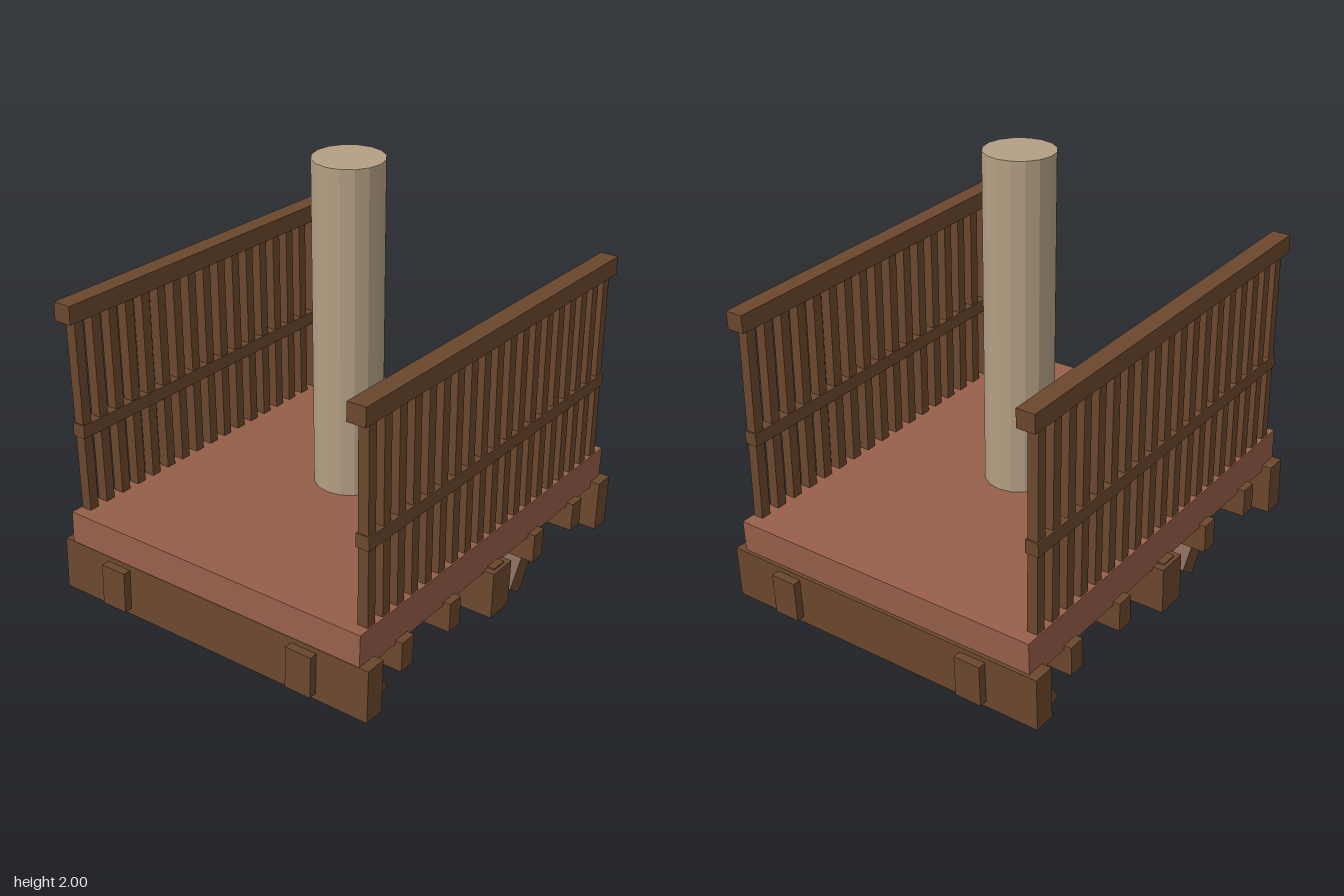
import * as THREE from 'three';

const SLOPE = 0.041; // the platform rises gently towards the front

export function createModel() {
  const model = new THREE.Group();
  model.name = 'treePlatform';

  const make = (name, color) => {
    const m = new THREE.MeshStandardMaterial({ color, flatShading: true });
    m.name = name;
    return m;
  };
  const timber = make('brown timber', 0x6b472d);
  const planks = make('red brown deck', 0x965f49);
  const bark = make('pale trunk', 0xb49f83);

  const box = (name, mat, w, h, d, x, y, z, tilt = 0) => {
    const mesh = new THREE.Mesh(new THREE.BoxGeometry(w, h, d), mat);
    mesh.name = name;
    mesh.position.set(x, y, z);
    mesh.rotation.x = tilt;
    model.add(mesh);
    return mesh;
  };
  // box that follows the slope; y is its height at z = 0
  const sloped = (name, mat, w, h, d, x, y, z) =>
    box(name, mat, w, h, d, x, y + SLOPE * z, z, -Math.atan(SLOPE));

  // deck
  sloped('deck', planks, 1.36, 0.155, 1.755, 0, 0.567, 0);

  // trunk through the deck
  const trunk = new THREE.Mesh(new THREE.CylinderGeometry(0.14, 0.14, 1.4, 16), bark);
  trunk.name = 'trunk';
  trunk.position.y = 1.3;
  model.add(trunk);

  // cross joists, with a heavier beam in the middle
  for (const z of [-0.625, -0.31, 0, 0.31, 0.625])
    sloped('joist', timber, 1.42, 0.122, 0.073, 0, 0.445, z);
  sloped('centreBeam', timber, 1.45, 0.197, 0.13, 0, 0.401, 0);

  // end beams
  for (const s of [-1, 1])
    sloped('endBeam', timber, 1.44, 0.217, 0.09, 0, 0.406, s * 0.84);

  for (const side of [-1, 1]) {
    // long bearers, ending just outside the end beams
    sloped('bearer', timber, 0.112, 0.17, 1.84, side * 0.441, 0.409, 0);

    // slanted struts, lower ends towards the middle
    const len = 0.5;
    for (const [s, y, z] of [[1, 0.107, 0.5], [-1, 0.029, 0.493]]) {
      const a = 0.62;
      box('strut', timber, 0.095, len, 0.093, side * 0.466,
        y + Math.cos(a) * len / 2, s * (z + Math.sin(a) * len / 2), s * a);
    }

    // railing
    sloped('topRail', timber, 0.076, 0.074, 1.72, side * 0.65, 1.485, 0);
    sloped('middleRail', timber, 0.055, 0.055, 1.655, side * 0.653, 0.99, 0);
    for (let i = 0; i < 19; i++) {
      const z = -0.8 + i * 1.6 / 18;
      box('baluster', timber, 0.043, 0.87, 0.043, side * 0.653, 1.04 + SLOPE * z, z);
    }
  }
  return model;
}
